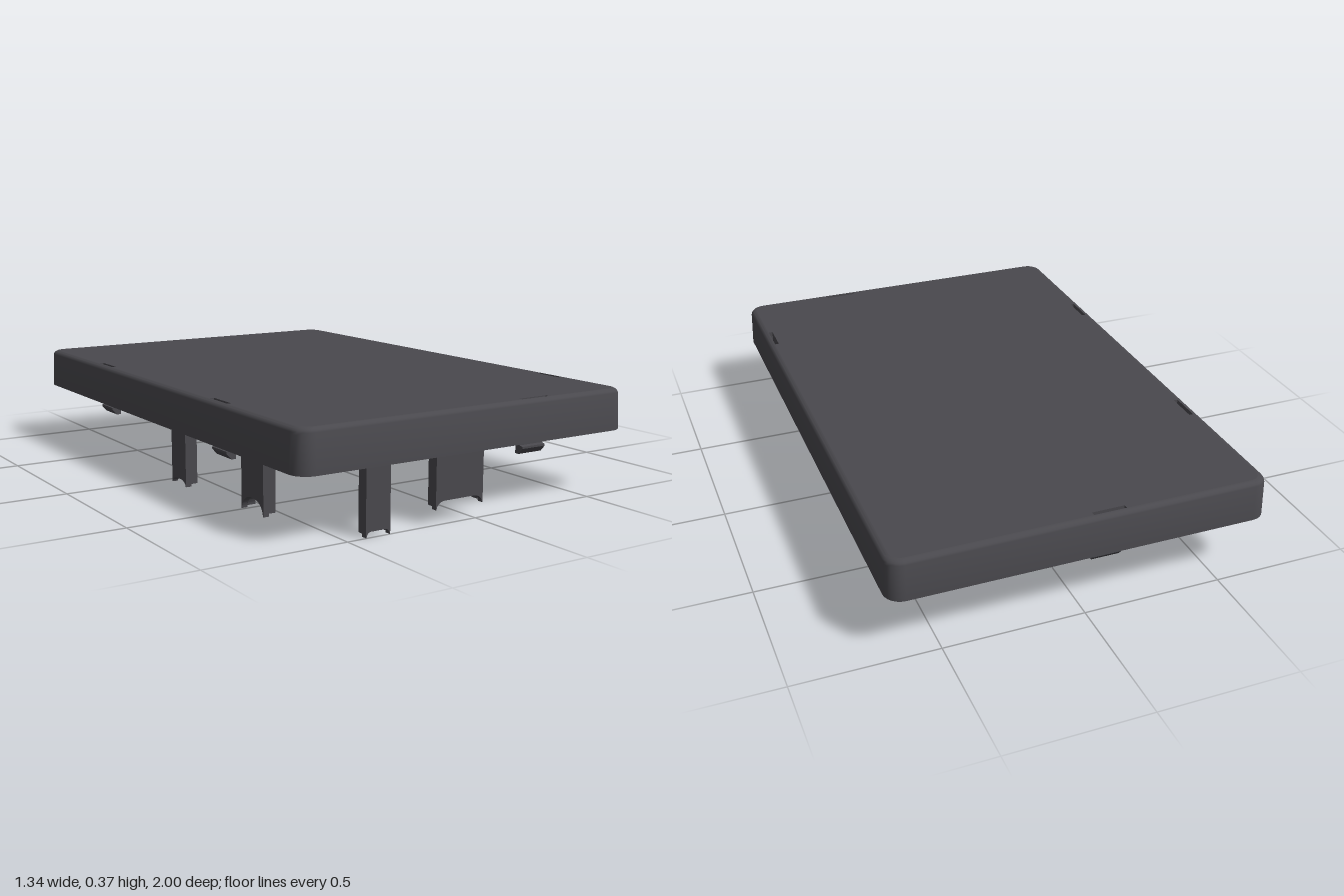
import * as THREE from 'three';
import { toCreasedNormals } from 'three/addons/utils/BufferGeometryUtils.js';

const HX = 0.672, HZ = 1, CORNER = 0.06;
const RIM = 0.22, LIP = 0.245, CEILING = 0.335, TOP = 0.365;

// Walls: turn about y and distance from the centre
const WALLS = {
  front: [0, HZ], back: [Math.PI, HZ],
  right: [-Math.PI / 2, HX], left: [Math.PI / 2, HX],
};

// Snap clips, each under a slot in the top: wall, x and z of its middle
const CLIPS = [
  ['left', HX, 0.65], ['right', -HX, 0.46], ['right', -HX, -0.455],
  ['front', 0.27, HZ], ['back', -0.085, -HZ],
];

// Hanging tabs: wall, offset along it, width, tip height, notch height, notch corner
const TABS = [
  ['front', -0.385, 0.092, 0, 0.018, 0.016],
  ['front', -0.065, 0.192, 0.048, 0.075, 0.034],
  ['right', 0.72, 0.136, 0.052, 0.1, 0.06],
  ['right', 0.212, 0.104, 0.035, 0.056, 0.04],
];

// Rounded outline of the case, counter-clockwise from above (y of the outline is -z)
function outline(inset) {
  const r = CORNER - inset * 0.8, pts = [];
  for (let c = 0; c < 4; c++) {
    const sx = c === 0 || c === 3 ? 1 : -1, sy = c < 2 ? 1 : -1;
    for (let k = 0; k <= 6; k++) {
      const a = (c + k / 6) * Math.PI / 2;
      pts.push(new THREE.Vector2(
        sx * (HX - inset - r) + r * Math.cos(a), sy * (HZ - inset - r) + r * Math.sin(a)));
    }
  }
  return pts;
}

function slotPaths() {
  return CLIPS.map(([wall, x, z]) => {
    const side = wall === 'left' || wall === 'right';
    const cx = side ? Math.sign(x) * (HX - 0.0345) : x;
    const cz = side ? z : Math.sign(z) * (HZ - 0.0345);
    const w = side ? 0.0075 : 0.058, d = side ? 0.058 : 0.0075;
    return new THREE.Path([[-w, -d], [-w, d], [w, d], [w, -d]]
      .map(([a, b]) => new THREE.Vector2(cx + a, -cz + b)));
  });
}

// Flat slab from a plan shape, between two heights
function slab(shape, y0, y1, curveSegments = 12) {
  const g = new THREE.ExtrudeGeometry(shape, { depth: y1 - y0, bevelEnabled: false, curveSegments });
  return toCreasedNormals(g.rotateX(-Math.PI / 2).translate(0, y0, 0), 0.6);
}

// Outer wall swept through [inset, height] steps, with a rounded upper edge
function wallGeometry() {
  const profile = [[0.022, CEILING], [0.022, RIM], [0, RIM], [0.004, TOP - 0.022]];
  for (let k = 1; k <= 5; k++) {
    const a = k / 5 * Math.PI / 2;
    profile.push([0.026 - 0.022 * Math.cos(a), TOP - 0.022 + 0.022 * Math.sin(a)]);
  }
  const pos = [], index = [], n = outline(0).length;
  for (const [inset, y] of profile) for (const p of outline(inset)) pos.push(p.x, y, -p.y);
  for (let j = 0; j < profile.length - 1; j++) {
    for (let i = 0; i < n; i++) {
      const a = j * n + i, b = j * n + (i + 1) % n;
      index.push(a, b, b + n, a, b + n, a + n);
    }
  }
  const g = new THREE.BufferGeometry();
  g.setAttribute('position', new THREE.Float32BufferAttribute(pos, 3));
  g.setIndex(index);
  return toCreasedNormals(g, 0.6);
}

// Upright plate with a notched lower end, outer face at z = zOut
function tabGeometry(w, tip, notch, rx, top, zOut, thick) {
  const h = w / 2, e = h - 0.003, s = new THREE.Shape();
  rx = Math.min(rx, e);
  s.moveTo(-h, top);
  s.lineTo(-h, tip);
  s.lineTo(-e, tip);
  s.absellipse(-e + rx, tip, rx, notch - tip, Math.PI, Math.PI / 2, true);
  s.absellipse(e - rx, tip, rx, notch - tip, Math.PI / 2, 0, true);
  s.lineTo(h, tip);
  s.lineTo(h, top);
  const g = new THREE.ExtrudeGeometry(s, { depth: thick, bevelEnabled: false, curveSegments: 10 });
  return toCreasedNormals(g.translate(0, 0, zOut - thick), 0.5);
}

// Snap clip: stem with an outward hook, profile swept along the wall
function clipGeometry() {
  const s = new THREE.Shape([
    [-0.062, 0.338], [-0.062, 0.176], [-0.046, 0.176], [-0.028, 0.196],
    [-0.028, 0.203], [-0.042, 0.206], [-0.042, 0.338],
  ].map(([x, y]) => new THREE.Vector2(x, y)));
  const g = new THREE.ExtrudeGeometry(s, { depth: 0.1, bevelEnabled: false });
  return g.translate(0, 0, -0.05).rotateY(-Math.PI / 2);
}

export function createModel() {
  const model = new THREE.Group();
  model.name = 'caseLid';
  const plastic = new THREE.MeshStandardMaterial({ color: 0x4a494e });
  plastic.name = 'darkGreyPlastic';

  const add = (name, geometry, parent = model) => {
    const mesh = new THREE.Mesh(geometry, plastic);
    mesh.name = name;
    parent.add(mesh);
    return mesh;
  };
  const onWall = (name, wall, along) => {
    const [angle, dist] = WALLS[wall], group = new THREE.Group();
    group.name = name;
    group.rotation.y = angle;
    group.position.set(Math.sin(angle) * dist, 0, Math.cos(angle) * dist);
    group.translateX(along);
    model.add(group);
    return group;
  };

  // Shell: outer wall, slotted top, stepped inner lip
  add('outerWall', wallGeometry());
  const top = new THREE.Shape(outline(0.026));
  top.holes = slotPaths();
  add('topPlate', slab(top, CEILING, TOP));
  const lip = new THREE.Shape(outline(0.022));
  lip.holes = [new THREE.Path(outline(0.045)), ...slotPaths()];
  add('innerLip', slab(lip, LIP, CEILING));

  // Snap clips
  for (const [wall, x, z] of CLIPS) {
    const along = { front: x, back: -x, right: z, left: -z }[wall];
    add('clip', clipGeometry(), onWall('snapClip', wall, along));
  }

  // Hanging tabs in two layers
  for (const [wall, along, w, tip, notch, rx] of TABS) {
    const group = onWall('portTab', wall, along);
    add('tabOuter', tabGeometry(w, tip, notch, rx, LIP, -0.002, 0.02), group);
    add('tabInner', tabGeometry(w - 0.008, tip + 0.008, notch + 0.006, rx, CEILING, -0.02, 0.028), group);
  }

  // Round collar under the top
  const ring = new THREE.Shape().absarc(0, 0, 0.25, 0, Math.PI * 2, false);
  ring.holes.push(new THREE.Path().absarc(0, 0, 0.232, 0, Math.PI * 2, true));
  add('collar', slab(ring, 0.21, CEILING, 32)).position.set(-0.13, 0, -0.45);

  // Cradle ribs with a round cut-out
  const cx = 0.47, cy = 0.09, r = 0.228;
  const rib = new THREE.Shape();
  rib.moveTo(0.22, CEILING);
  rib.lineTo(0.22, 0.145);
  rib.absarc(cx, cy, r, Math.PI - Math.asin((0.145 - cy) / r), Math.acos((0.64 - cx) / r), true);
  rib.lineTo(0.64, CEILING);
  for (const z of [-0.715, 0.18]) {
    const g = new THREE.ExtrudeGeometry(rib, { depth: 0.018, bevelEnabled: false, curveSegments: 20 });
    add('cradleRib', toCreasedNormals(g, 0.5)).position.z = z;
  }

  // Straight stop rib
  add('stopRib', new THREE.BoxGeometry(0.37, CEILING - RIM, 0.018))
    .position.set(0.455, (CEILING + RIM) / 2, 0.38);

  return model;
}
